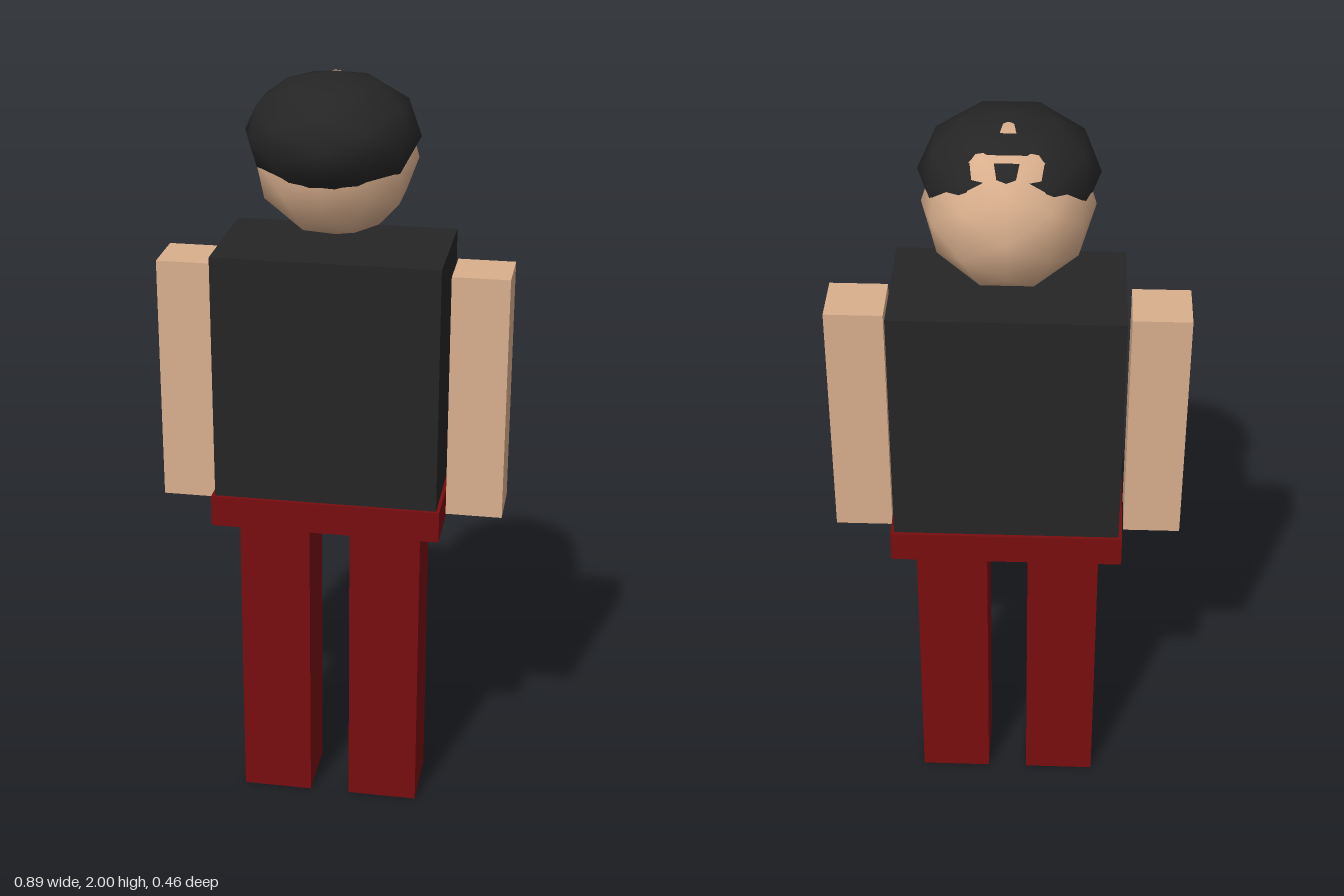
import * as THREE from 'three';

function material(name, color) {
  const m = new THREE.MeshStandardMaterial({ color });
  m.name = name;
  return m;
}

export function createModel() {
  const model = new THREE.Group();
  model.name = 'blockFigure';

  const skin = material('skin', 0xd9af8d);
  const black = material('black', 0x252525);
  const red = material('darkRed', 0x790d0f);

  // Box given by its extents on each axis
  function box(name, mat, [x0, x1], [y0, y1], [z0, z1]) {
    const mesh = new THREE.Mesh(new THREE.BoxGeometry(x1 - x0, y1 - y0, z1 - z0), mat);
    mesh.position.set((x0 + x1) / 2, (y0 + y1) / 2, (z0 + z1) / 2);
    mesh.name = name;
    model.add(mesh);
  }

  // Smooth-shaded low-poly ball, scaled per axis
  function ball(name, mat, radii, centre) {
    const geo = new THREE.IcosahedronGeometry(1, 1);
    geo.scale(...radii);
    const mesh = new THREE.Mesh(geo, mat);
    mesh.position.set(...centre);
    mesh.name = name;
    model.add(mesh);
  }

  // Torso and belt
  box('torso', black, [-0.286, 0.286], [0.917, 1.558], [-0.195, 0.139]);
  box('belt', red, [-0.295, 0.295], [0.835, 0.917], [-0.204, 0.148]);

  // Arms and legs, mirrored
  for (const [side, s] of [['left', 1], ['right', -1]]) {
    const span = (a, b) => (s > 0 ? [a, b] : [-b, -a]);
    box(side + 'Arm', skin, span(0.3, 0.445), [0.867, 1.51], [-0.101, 0.044]);
    box(side + 'Leg', red, span(0.053, 0.238), [0, 0.835], [-0.117, 0.069]);
  }

  // Floating head with a flattened cap of hair pushed forward
  ball('head', skin, [0.206, 0.206, 0.206], [0, 1.787, -0.027]);
  ball('hair', black, [0.216, 0.15, 0.216], [0, 1.85, 0.013]);

  return model;
}
